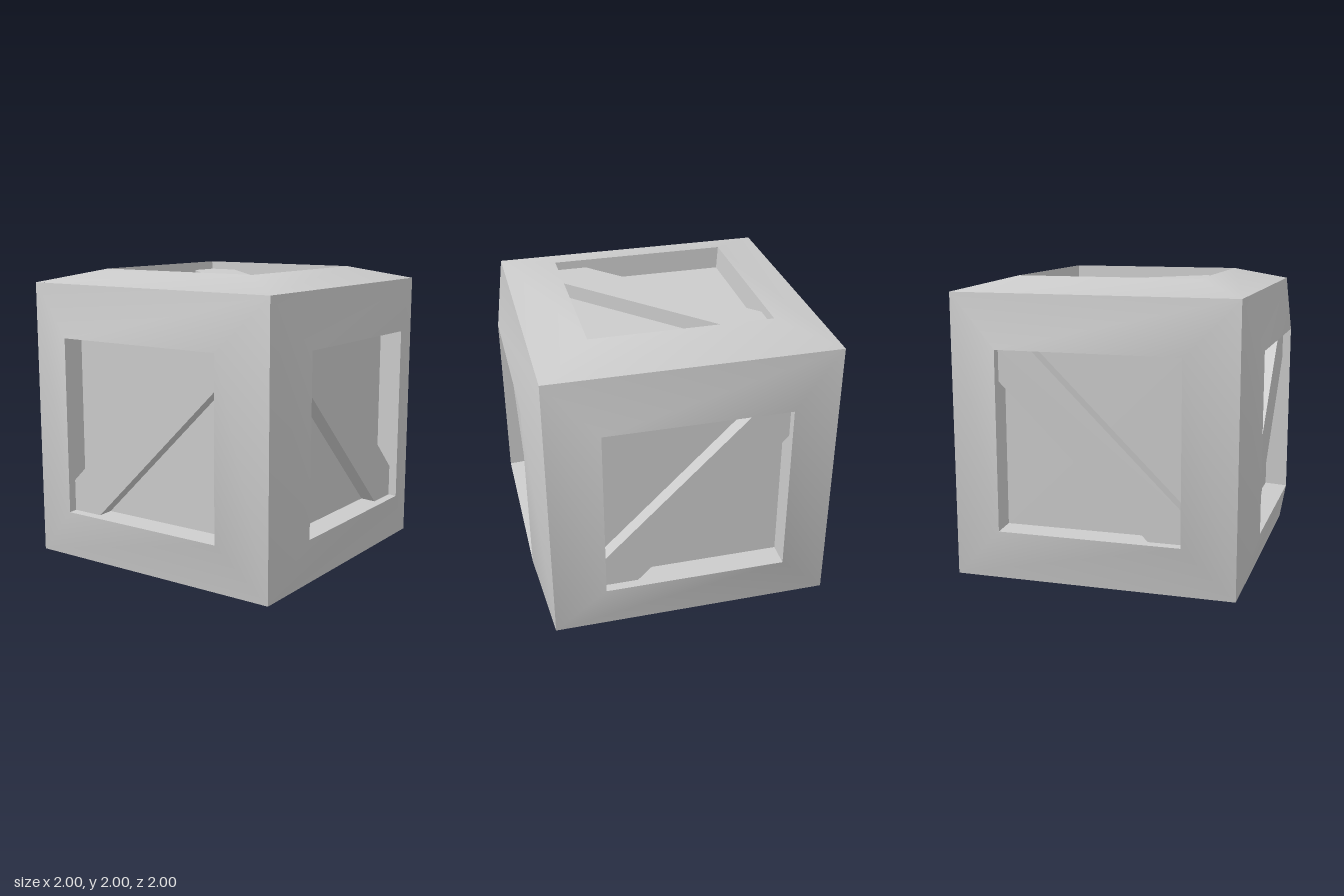
import * as THREE from 'three';

const EDGE = 0.915;              // half size at the crate corners
const HU = 0.588, HV = 0.577;    // half size of the panel opening
const RIM = 1.0, BAR = 0.945, PANEL = 0.85; // distances from the crate centre

const rect = (u, v, w) => [[-u, -v, w], [u, -v, w], [u, v, w], [-u, v, w]];

// Closed band of quads between an outer and an inner four-cornered ring
function band(outer, inner, smooth) {
  const index = [];
  for (let i = 0; i < 4; i++) {
    const j = (i + 1) % 4;
    index.push(i, j, j + 4, i, j + 4, i + 4);
  }
  let geo = new THREE.BufferGeometry();
  geo.setAttribute('position', new THREE.Float32BufferAttribute([...outer, ...inner].flat(), 3));
  geo.setIndex(index);
  if (!smooth) geo = geo.toNonIndexed();
  geo.computeVertexNormals();
  return geo;
}

// Diagonal plank clipped to the opening; flip mirrors it left to right
function braceGeometry(flip) {
  const points = [[-HU, HV], [-HU, 0.375], [0.375, -HV], [HU, -HV], [HU, -0.37], [-0.375, HV]];
  const shape = new THREE.Shape(points.map(([u, v]) => new THREE.Vector2(flip ? -u : u, v)));
  const geo = new THREE.ExtrudeGeometry(shape, { depth: BAR - PANEL, bevelEnabled: false });
  return geo.translate(0, 0, PANEL);
}

export function createModel() {
  const crate = new THREE.Group();
  crate.name = 'crate';
  const material = new THREE.MeshStandardMaterial({ color: 0xcccccc });

  const frame = band(rect(EDGE, EDGE, EDGE), rect(HU, HV, RIM), true);
  const walls = band(rect(HU, HV, RIM), rect(0.584, 0.567, PANEL), false);
  const panel = new THREE.PlaneGeometry(2 * HU, 2 * HV).translate(0, 0, PANEL);
  const q = Math.PI / 2;

  // name, x rotation, y rotation, mirrored brace
  const sides = [
    ['front', 0, 0, false],
    ['back', 0, 2 * q, false],
    ['left', 0, q, true],
    ['right', 0, -q, true],
    ['top', -q, 0, true],
    ['bottom', q, 0, true],
  ];
  for (const [name, rx, ry, flip] of sides) {
    const side = new THREE.Group();
    side.name = name + 'Side';
    const parts = { Frame: frame, RecessWalls: walls, Panel: panel, Brace: braceGeometry(flip) };
    for (const [part, geo] of Object.entries(parts)) {
      const mesh = new THREE.Mesh(geo, material);
      mesh.name = name + part;
      side.add(mesh);
    }
    side.rotation.set(rx, ry, 0);
    side.position.y = 1;
    crate.add(side);
  }
  return crate;
}
